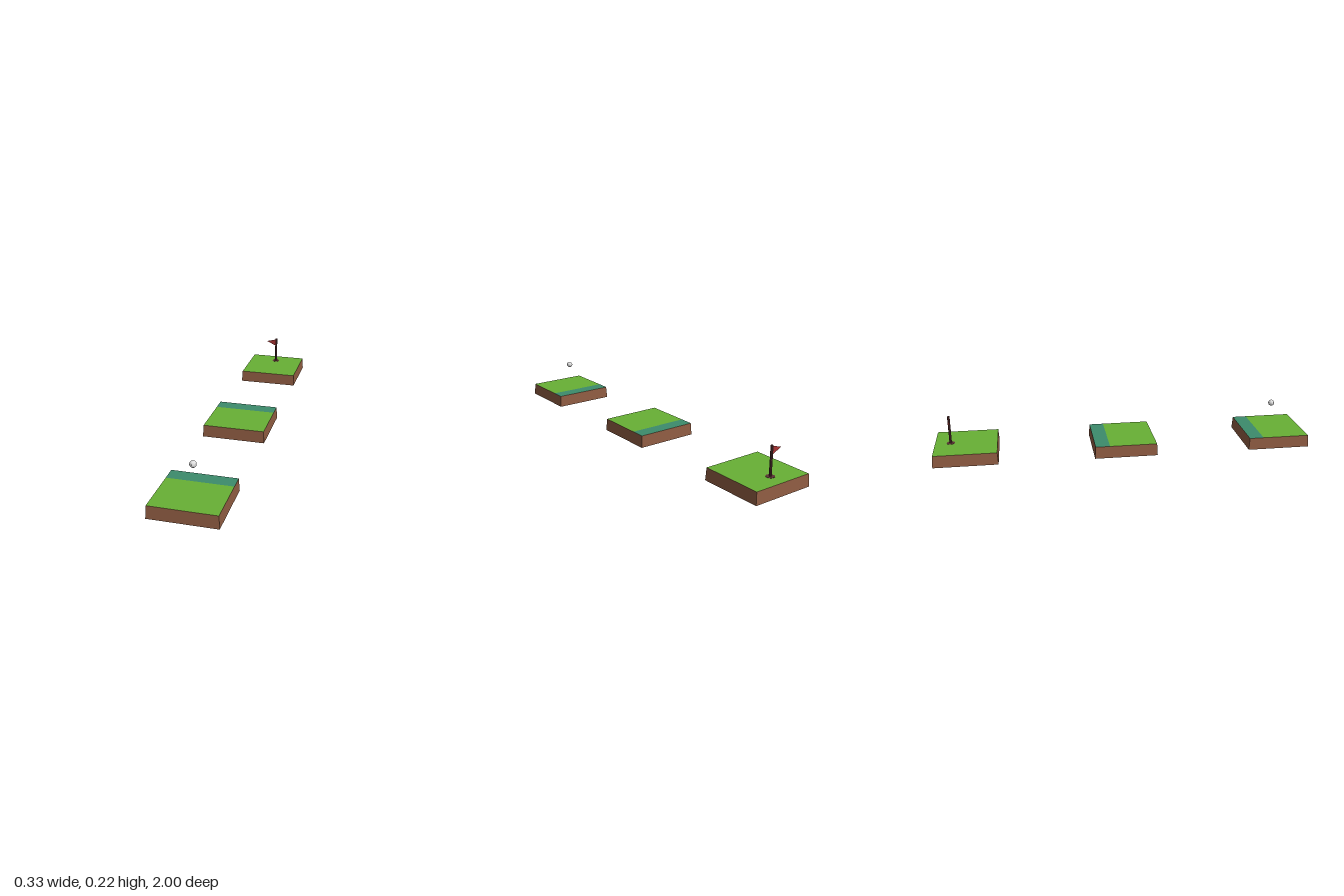
import * as THREE from 'three';

const material = (name, color, side = THREE.FrontSide) => {
  const m = new THREE.MeshStandardMaterial({ color, side });
  m.name = name;
  m.flatShading = true;
  return m;
};

export function createModel() {
  const soil = material('soil', 0x8f5c42);
  const grass = material('grass', 0x68b035);
  const fringe = material('fringe', 0x3d8c6c);
  const wood = material('darkWood', 0x5c3434);
  const cloth = material('flagRed', 0xa83434, THREE.DoubleSide);
  const white = material('ballWhite', 0xdedede);

  const H = 0.064, BASE = 0.1667, TOP = 0.163, SPLIT = -0.087;
  const model = new THREE.Group();
  model.name = 'golfCourse';

  const add = (parent, name, geometry, mat, x = 0, y = 0, z = 0) => {
    const mesh = new THREE.Mesh(geometry, mat);
    mesh.name = name;
    mesh.position.set(x, y, z);
    parent.add(mesh);
    return mesh;
  };

  // Flat turf strip covering part of a tile's top
  const turf = (parent, name, mat, z0, z1) => {
    const g = new THREE.PlaneGeometry(TOP * 2, z1 - z0).rotateX(-Math.PI / 2);
    add(parent, name, g, mat, 0, H + 0.0004, (z0 + z1) / 2);
  };

  // Slightly tapered soil block with turf on top
  const tile = (name, z, hasFringe) => {
    const group = new THREE.Group();
    group.name = name;
    group.position.z = z;
    const block = new THREE.BoxGeometry(BASE * 2, H, BASE * 2).translate(0, H / 2, 0);
    const p = block.attributes.position;
    for (let i = 0; i < p.count; i++) {
      if (p.getY(i) > H / 2) {
        p.setX(i, p.getX(i) * TOP / BASE);
        p.setZ(i, p.getZ(i) * TOP / BASE);
      }
    }
    block.computeVertexNormals();
    add(group, 'soilBlock', block, soil);
    turf(group, 'grassTop', grass, hasFringe ? SPLIT : -TOP, TOP);
    if (hasFringe) turf(group, 'fringeStrip', fringe, -TOP, SPLIT);
    model.add(group);
    return group;
  };

  tile('teeTile', 0.8333, true);
  tile('fairwayTile', 0, true);
  const green = tile('greenTile', -0.8333, false);

  // Cup, pole and pennant
  const flagZ = -0.082;
  add(green, 'cup', new THREE.CylinderGeometry(0.022, 0.022, 0.002, 10), wood, 0, H + 0.001, flagZ);
  add(green, 'flagPole', new THREE.CylinderGeometry(0.0065, 0.0065, 0.151, 8), wood, 0, H + 0.0755, flagZ);
  const pennant = new THREE.Shape([
    new THREE.Vector2(0, 0.21),
    new THREE.Vector2(-0.061, 0.194),
    new THREE.Vector2(0, 0.165),
  ]);
  add(green, 'flag', new THREE.ShapeGeometry(pennant), cloth, 0, 0, flagZ);

  // Ball hovering over the tee
  add(model, 'ball', new THREE.SphereGeometry(0.0167, 12, 8), white, 0, 0.202, 0.8333);

  return model;
}
